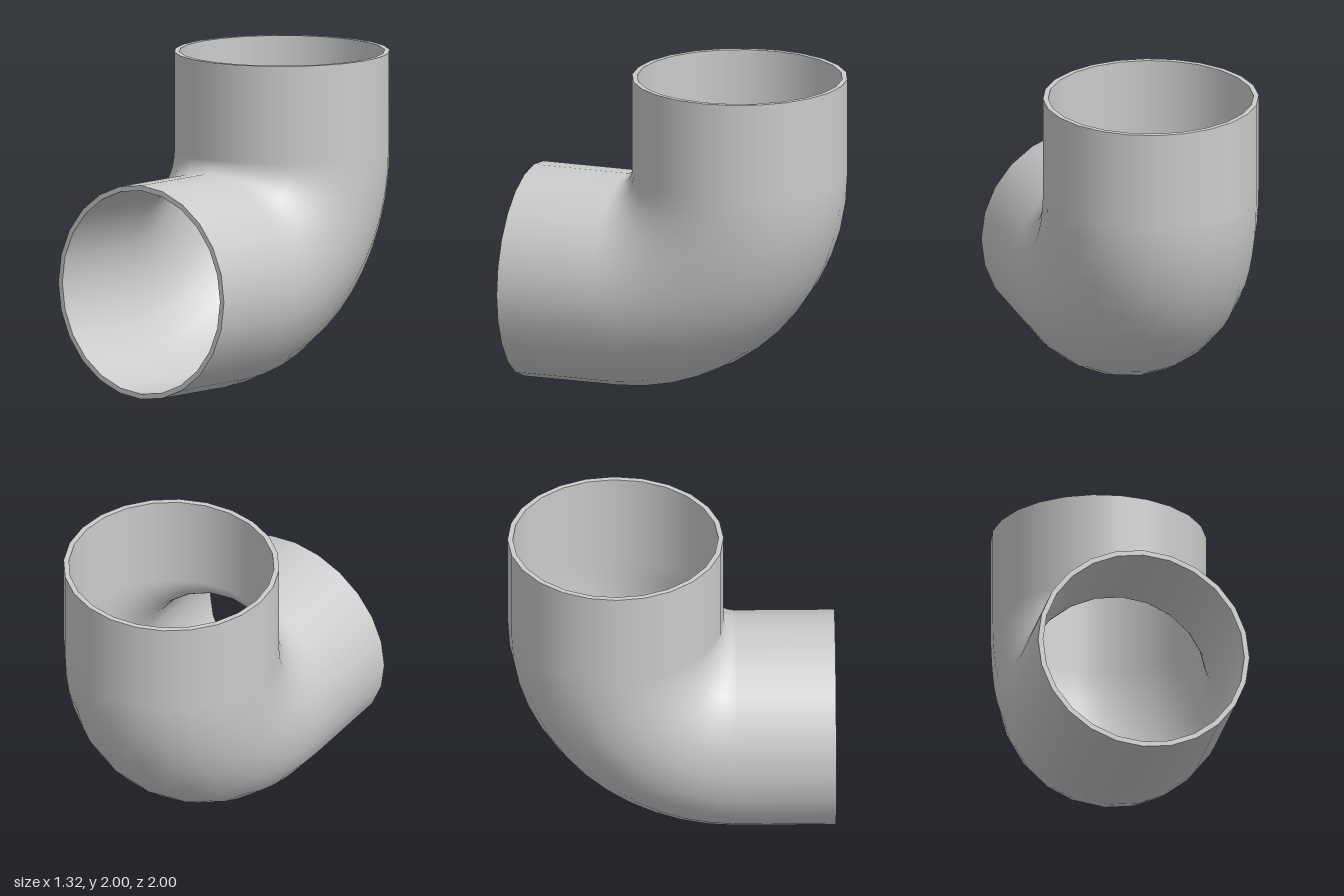
import * as THREE from 'three';

const SIDES = 24, BEND_STEPS = 12;
const OUTER = 0.66, INNER = 0.628, BEND = 0.74;
const AXIS_Y = 0.66, AXIS_Z = -0.34;

// Stations along the pipe centreline: position (y, z) and bend angle
function stations() {
  const list = [{ y: AXIS_Y, z: 1, t: 0 }];
  for (let i = 0; i <= BEND_STEPS; i++) {
    const t = (i / BEND_STEPS) * Math.PI / 2;
    list.push({
      y: AXIS_Y + BEND * (1 - Math.cos(t)),
      z: AXIS_Z + BEND * (1 - Math.sin(t)),
      t,
    });
  }
  list.push({ y: 2, z: AXIS_Z, t: Math.PI / 2 });
  return list;
}

// Smooth tube wall swept along the stations, facing outward or inward
function wallGeometry(radius, facing) {
  const pos = [], nor = [], idx = [];
  const path = stations(), row = SIDES + 1;
  path.forEach(({ y, z, t }, s) => {
    for (let j = 0; j <= SIDES; j++) {
      const a = (j / SIDES) * Math.PI * 2;
      const nx = Math.sin(a);
      const ny = -Math.cos(a) * Math.cos(t);
      const nz = -Math.cos(a) * Math.sin(t);
      pos.push(radius * nx, y + radius * ny, z + radius * nz);
      nor.push(facing * nx, facing * ny, facing * nz);
      if (s < path.length - 1 && j < SIDES) {
        const p = s * row + j, q = p + row;
        if (facing > 0) idx.push(p, q, p + 1, q, q + 1, p + 1);
        else idx.push(p, p + 1, q, q, p + 1, q + 1);
      }
    }
  });
  const geo = new THREE.BufferGeometry();
  geo.setAttribute('position', new THREE.Float32BufferAttribute(pos, 3));
  geo.setAttribute('normal', new THREE.Float32BufferAttribute(nor, 3));
  geo.setIndex(idx);
  return geo;
}

export function createModel() {
  const group = new THREE.Group();
  group.name = 'pipeElbow';
  const material = new THREE.MeshStandardMaterial({ color: 0xcccccc });
  const add = (name, geo) => {
    const mesh = new THREE.Mesh(geo, material);
    mesh.name = name;
    group.add(mesh);
    return mesh;
  };

  // Pipe walls
  add('outerWall', wallGeometry(OUTER, 1));
  add('innerWall', wallGeometry(INNER, -1));

  // Flat rims closing the wall thickness at both openings
  const rim = new THREE.RingGeometry(INNER, OUTER, SIDES);
  add('frontRim', rim).position.set(0, AXIS_Y, 1);
  const top = add('topRim', rim);
  top.rotation.x = -Math.PI / 2;
  top.position.set(0, 2, AXIS_Z);

  return group;
}
